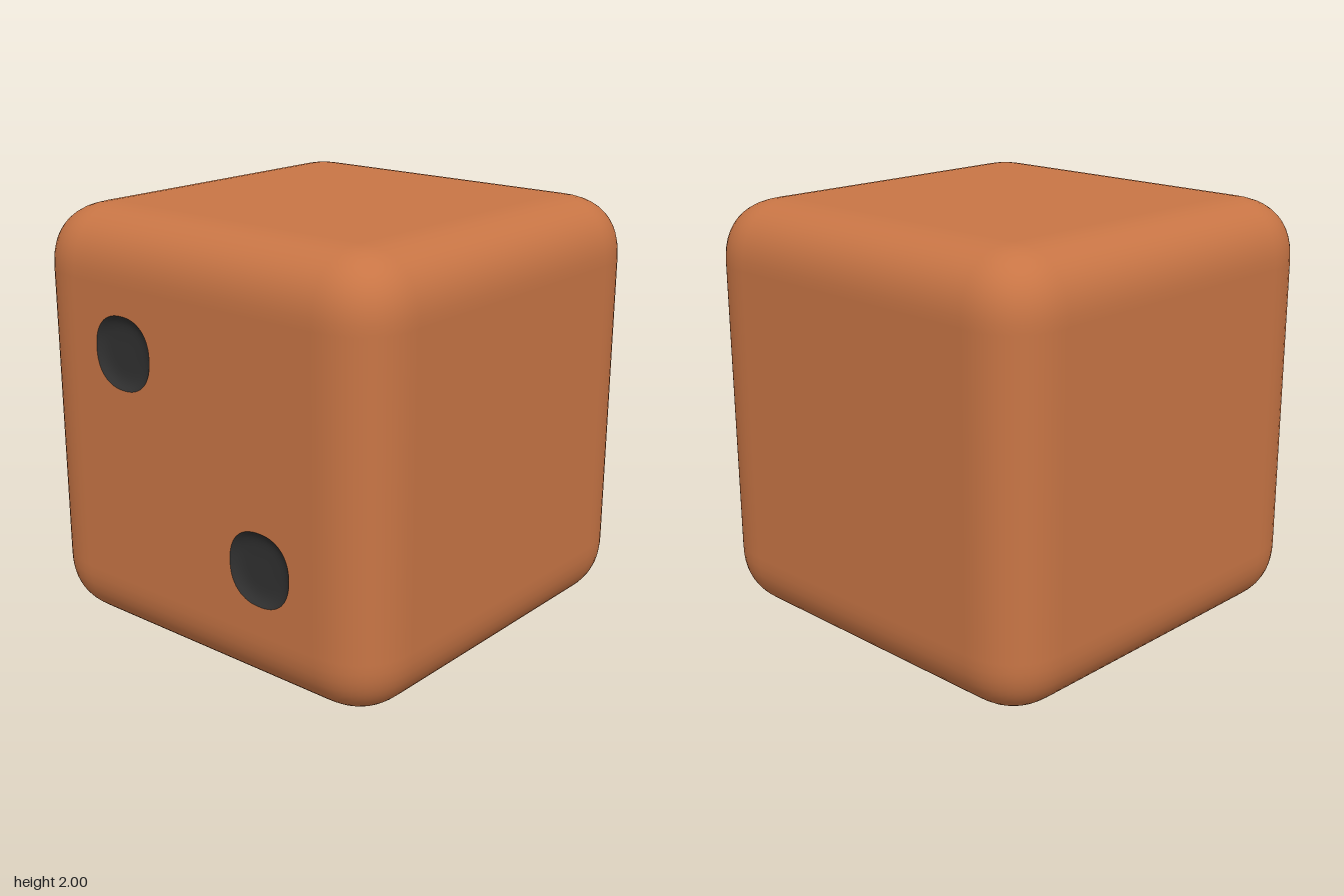
import * as THREE from 'three';

const ROUND = 0.3;          // how far the soft edges reach in
const FLAT = 1 - ROUND;     // half-size of the flat part of each face
const POWER = 2.4;          // superellipse exponent of the edges
const PIP_RADIUS = 0.17;
const PIP_DEPTH = 0.03;
const PIPS = [[-0.4, 0.4], [0.4, -0.4]];

// Rounded-square radius at an angle
function pipRadius(a) {
  const n = 2.3;
  return PIP_RADIUS * (Math.abs(Math.cos(a)) ** n + Math.abs(Math.sin(a)) ** n) ** (-1 / n);
}

// Cube with superellipse edges, open where the front panel sits
function bodyGeometry() {
  const geo = new THREE.BoxGeometry(2, 2, 2, 40, 40, 40);
  const pos = geo.attributes.position, nor = geo.attributes.normal;
  const p = new THREE.Vector3(), inner = new THREE.Vector3(), n = new THREE.Vector3();
  for (let i = 0; i < pos.count; i++) {
    p.fromBufferAttribute(pos, i);
    inner.copy(p).clampScalar(-FLAT, FLAT);
    p.sub(inner);
    const len = p.toArray().reduce((s, v) => s + Math.abs(v) ** POWER, 0) ** (1 / POWER);
    p.multiplyScalar(ROUND / len);
    n.fromArray(p.toArray().map((v) => Math.sign(v) * Math.abs(v) ** (POWER - 1))).normalize();
    p.add(inner);
    pos.setXYZ(i, p.x, p.y, p.z);
    nor.setXYZ(i, n.x, n.y, n.z);
  }
  const index = geo.index.array, kept = [];
  for (let i = 0; i < index.length; i += 3) {
    const tri = [index[i], index[i + 1], index[i + 2]];
    const inPanel = tri.every((v) => pos.getZ(v) > 0.9999
      && Math.abs(pos.getX(v)) < FLAT + 1e-4 && Math.abs(pos.getY(v)) < FLAT + 1e-4);
    if (!inPanel) kept.push(...tri);
  }
  geo.setIndex(kept);
  geo.clearGroups();
  return geo;
}

// Flat middle of the front face with a hole for each pip
function panelGeometry() {
  const shape = new THREE.Shape([[-1, -1], [1, -1], [1, 1], [-1, 1]]
    .map(([x, y]) => new THREE.Vector2(x * FLAT, y * FLAT)));
  for (const [x, y] of PIPS) {
    const points = [];
    for (let i = 0; i < 64; i++) {
      const a = (i / 64) * Math.PI * 2, r = pipRadius(a);
      points.push(new THREE.Vector2(x + r * Math.cos(a), y + r * Math.sin(a)));
    }
    shape.holes.push(new THREE.Path(points));
  }
  return new THREE.ShapeGeometry(shape);
}

// Shallow dish with a nearly flat floor
function pipGeometry() {
  const geo = new THREE.RingGeometry(0, 1, 64, 12);
  const pos = geo.attributes.position;
  for (let i = 0; i < pos.count; i++) {
    const x = pos.getX(i), y = pos.getY(i);
    const t = Math.hypot(x, y), r = pipRadius(Math.atan2(y, x));
    pos.setXYZ(i, x * r, y * r, -PIP_DEPTH * (1 - t ** 6));
  }
  geo.computeVertexNormals();
  return geo;
}

export function createModel() {
  const group = new THREE.Group();
  group.name = 'die';
  const orange = new THREE.MeshStandardMaterial({ color: 0xc87545 });
  const dark = new THREE.MeshStandardMaterial({ color: 0x303030 });

  const add = (name, geo, material, x, y, z) => {
    const mesh = new THREE.Mesh(geo, material);
    mesh.name = name;
    mesh.position.set(x, y, z);
    group.add(mesh);
  };

  add('body', bodyGeometry(), orange, 0, 1, 0);
  add('frontPanel', panelGeometry(), orange, 0, 1, 1);
  const pip = pipGeometry();
  PIPS.forEach(([x, y], i) => add(i ? 'lowerPip' : 'upperPip', pip, dark, x, 1 + y, 1));
  return group;
}
